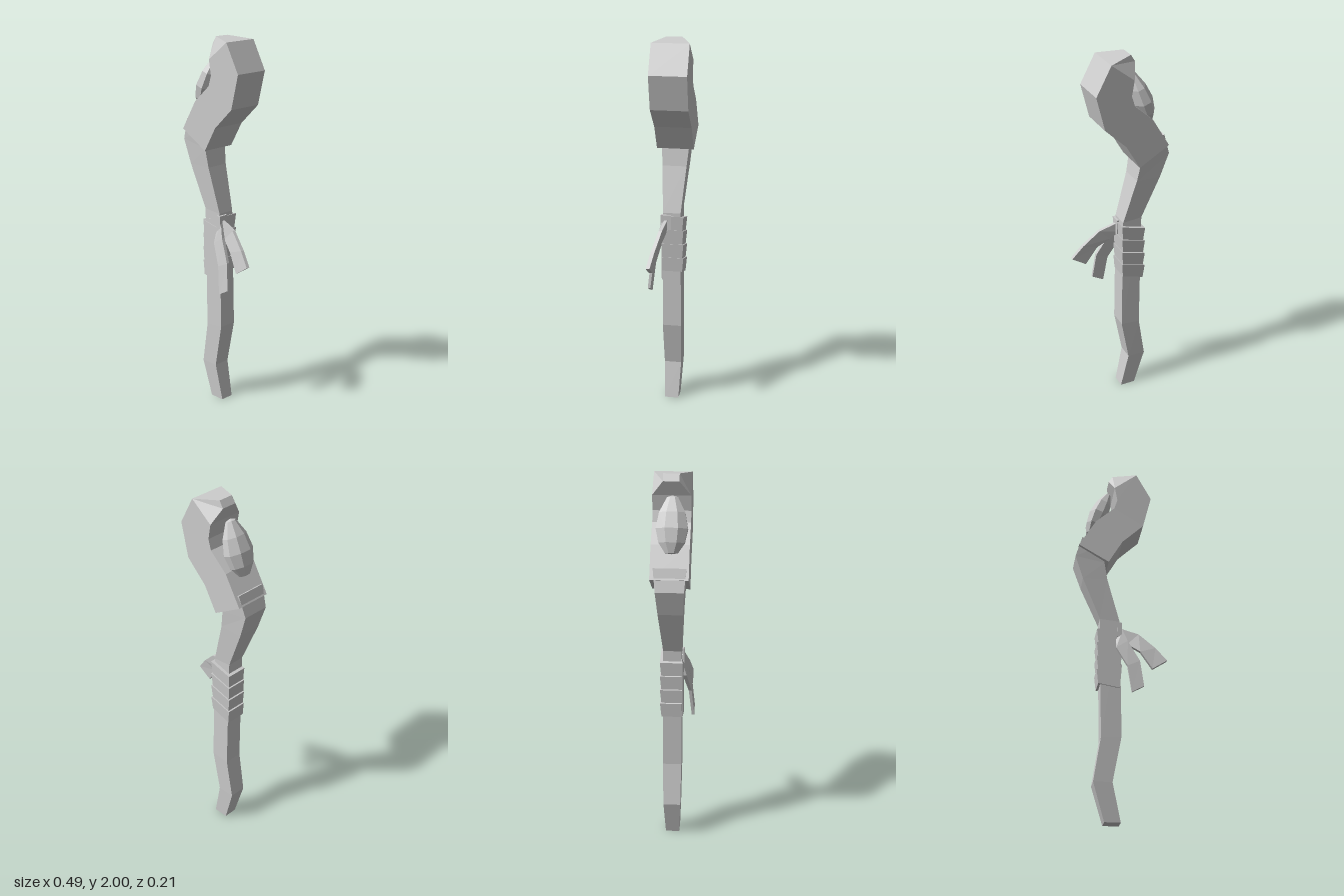
import * as THREE from 'three';

const stone = new THREE.MeshStandardMaterial({ color: 0xcccccc, flatShading: true });
stone.name = 'plain grey';

// Four-sided loft; each section is [leftX, leftY, rightX, rightY, frontZ, backZ], listed from bottom to top
function loft(name, sections) {
  const pos = [];
  const rings = sections.map(([lx, ly, rx, ry, zf, zb]) => [
    [lx, ly, zf], [rx, ry, zf], [rx, ry, zb], [lx, ly, zb],
  ]);
  const quad = (a, b, c, d) => pos.push(...a, ...b, ...c, ...a, ...c, ...d);
  for (let i = 0; i < rings.length - 1; i++) {
    for (let j = 0; j < 4; j++) {
      const k = (j + 1) % 4;
      quad(rings[i][j], rings[i][k], rings[i + 1][k], rings[i + 1][j]);
    }
  }
  const [a, b, c, d] = rings[0];
  quad(a, d, c, b);
  quad(...rings[rings.length - 1]);
  const geo = new THREE.BufferGeometry();
  geo.setAttribute('position', new THREE.Float32BufferAttribute(pos, 3));
  geo.computeVertexNormals();
  const mesh = new THREE.Mesh(geo, stone);
  mesh.name = name;
  return mesh;
}

export function createModel() {
  const staff = new THREE.Group();
  staff.name = 'staff';

  // Crooked square shaft
  staff.add(loft('shaft', [
    [-0.075, 0, 0.007, 0, 0.033, -0.041],
    [-0.132, 0.2, -0.035, 0.2, 0.042, -0.05],
    [-0.095, 0.43, 0.01, 0.44, 0.045, -0.055],
    [-0.105, 1.09, 0, 1.08, 0.045, -0.05],
    [-0.2, 1.32, -0.068, 1.32, 0.058, -0.07],
    [-0.243, 1.45, -0.085, 1.42, 0.065, -0.08],
    [-0.208, 1.565, -0.1, 1.52, 0.075, -0.092],
  ]));

  // Heavy hooked head, narrowing to a blunt tip
  staff.add(loft('hookedHead', [
    [-0.227, 1.51, -0.065, 1.415, 0.087, -0.108],
    [-0.135, 1.665, 0.01, 1.545, 0.087, -0.108],
    [-0.035, 1.755, 0.125, 1.655, 0.087, -0.108],
    [-0.018, 1.81, 0.17, 1.835, 0.087, -0.108],
    [-0.032, 1.89, 0.09, 1.985, 0.087, -0.108],
    [-0.06, 1.965, -0.038, 2, 0.03, -0.052],
  ]));

  // Faceted gem leaning in the hook
  const profile = [[0, -0.145], [0.035, -0.14], [0.07, -0.09], [0.086, -0.02], [0.07, 0.06], [0.03, 0.135], [0, 0.145]]
    .map(([r, y]) => new THREE.Vector2(r, y));
  const gemGeo = new THREE.LatheGeometry(profile, 8).rotateY(Math.PI / 8).scale(0.65, 1, 1);
  const gem = new THREE.Mesh(gemGeo, stone);
  gem.name = 'gem';
  gem.position.set(-0.11, 1.76, -0.003);
  gem.rotation.z = -0.36;
  staff.add(gem);

  // Overlapping grip wraps, higher on the left side
  const grip = new THREE.Group();
  grip.name = 'grip';
  for (let i = 0; i < 4; i++) {
    const y = 0.72 + i * 0.077;
    grip.add(loft('gripWrap', [
      [-0.112, y, 0.006, y + 0.035, 0.048, -0.06],
      [-0.12, y + 0.078, 0.012, y + 0.113, 0.048, -0.067],
    ]));
  }
  // Flat strip closing the front of the wraps
  grip.add(loft('gripFront', [
    [-0.11, 0.72, 0, 0.7, 0.052, 0.04],
    [-0.112, 1.025, 0, 1.0, 0.052, 0.04],
  ]));
  // Knot holding the ribbons
  grip.add(loft('knot', [
    [-0.015, 0.99, 0.012, 0.99, 0.055, 0],
    [-0.012, 1.07, 0.012, 1.07, 0.055, 0],
  ]));
  staff.add(grip);

  // Two loose ribbon ends
  staff.add(loft('outerRibbon', [
    [0.165, 0.8, 0.242, 0.85, 0.092, 0.072],
    [0.105, 0.9, 0.185, 0.925, 0.075, 0.055],
    [0.04, 0.95, 0.1, 1.01, 0.05, 0.032],
    [-0.015, 0.99, 0.005, 1.045, 0.035, 0.018],
  ]));
  staff.add(loft('innerRibbon', [
    [0.055, 0.66, 0.118, 0.695, 0.106, 0.092],
    [0.1 - 0.065, 0.81, 0.1, 0.84, 0.092, 0.076],
    [-0.02, 0.92, 0.04, 0.96, 0.068, 0.048],
    [-0.02, 0.98, 0.015, 1.03, 0.05, 0.03],
  ]));

  return staff;
}
